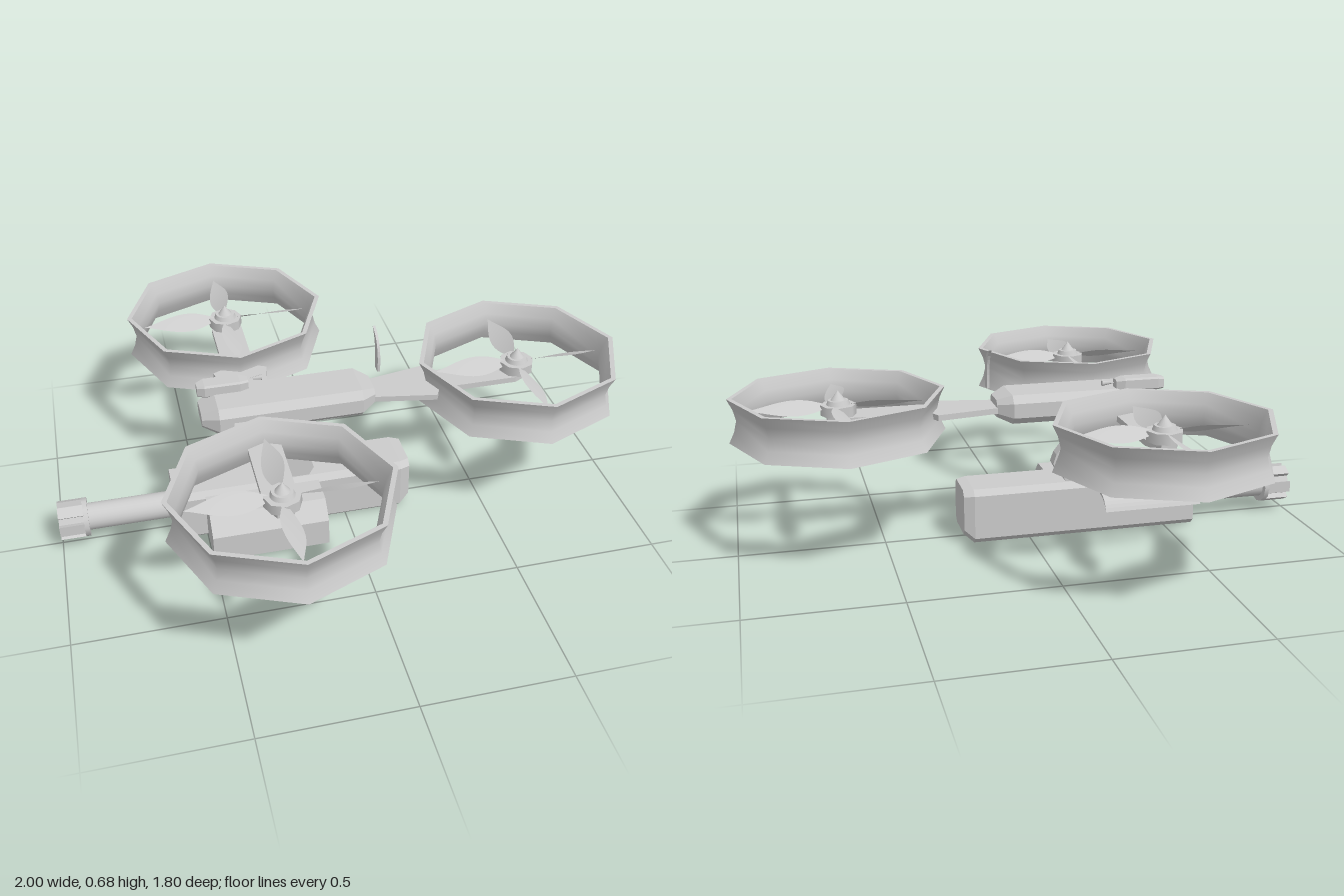
import * as THREE from 'three';
import { mergeGeometries } from 'three/addons/utils/BufferGeometryUtils.js';

const grey = new THREE.MeshStandardMaterial({ color: 0xcccccc });
const thin = new THREE.MeshStandardMaterial({ color: 0xcccccc, side: THREE.DoubleSide });

function part(parent, name, geo, x = 0, y = 0, z = 0, mat = grey) {
  const m = new THREE.Mesh(geo, mat);
  m.name = name;
  m.position.set(x, y, z);
  parent.add(m);
  return m;
}

// Chamfered hull along x; each section is [x, bottom, top, halfWidth, chamfer]
function hull(sections) {
  const pos = [], idx = [], n = 8, last = (sections.length - 1) * n;
  for (const [x, b, t, h, c] of sections) {
    for (const [y, z] of [[t, c - h], [t, h - c], [t - c, h], [b + c, h], [b, h - c], [b, c - h], [b + c, -h], [t - c, -h]]) pos.push(x, y, z);
  }
  for (let i = 0; i < last; i += n) {
    for (let j = 0; j < n; j++) {
      const k = (j + 1) % n;
      idx.push(i + j, i + k, i + n + j, i + k, i + n + k, i + n + j);
    }
  }
  for (let j = 1; j < n - 1; j++) idx.push(0, j + 1, j, last, last + j, last + j + 1);
  const g = new THREE.BufferGeometry();
  g.setAttribute('position', new THREE.Float32BufferAttribute(pos, 3));
  g.setIndex(idx);
  const flat = g.toNonIndexed();
  flat.computeVertexNormals();
  return flat;
}

const shapeOf = pts => new THREE.Shape(pts.map(p => new THREE.Vector2(...p)));

// Extrude a (z, y) outline from x0 to x1
function extrudeX(shape, x0, x1) {
  return new THREE.ExtrudeGeometry(shape, { depth: x1 - x0, bevelEnabled: false, curveSegments: 8 })
    .rotateY(-Math.PI / 2).translate(x1, 0, 0);
}

// Octagonal duct with a pinched waist and sharp rims
function ductGeometry() {
  const wall = r => [-1, -0.5, 0, 0.5, 1].map(t => new THREE.Vector2(r - 0.027 * (1 - Math.abs(t) ** 1.6), 0.475 + 0.075 * t));
  const outer = wall(0.36), inner = wall(0.343).reverse();
  return mergeGeometries([outer, [outer[4], inner[0]], inner, [inner[4], outer[0]]].map(p => new THREE.LatheGeometry(p, 8)));
}

// Leaf-shaped, pitched propeller blade along +x
function bladeGeometry() {
  const g = new THREE.PlaneGeometry(1, 2, 12, 2), p = g.attributes.position;
  for (let i = 0; i < p.count; i++) {
    const t = p.getX(i) + 0.5, side = p.getY(i);
    const w = side * (0.008 * (1 - t) + 0.034 * Math.sin(Math.PI * t ** 0.85) ** 1.2);
    const pitch = 0.65 - 0.35 * t;
    p.setXYZ(i, 0.04 + 0.26 * t, w * Math.sin(pitch), w * Math.cos(pitch));
  }
  g.computeVertexNormals();
  return g;
}

// Duct, hub, blades and the arm that reaches back to the chassis
function rotorUnit(name, x, z, angle, reach, rootHalf) {
  const g = new THREE.Group();
  g.name = name;
  g.position.set(x, 0, z);
  g.rotation.y = angle;
  part(g, 'duct', ductGeometry());
  const half = [[-reach, rootHalf], [-0.32, 0.095], [-0.3, 0.055], [-0.02, 0.055], [0.04, 0.025]];
  const outline = [...half, ...half.map(([a, b]) => [a, -b]).reverse()];
  const arm = new THREE.ExtrudeGeometry(shapeOf(outline), { depth: 0.02, bevelEnabled: false }).rotateX(-Math.PI / 2);
  part(g, 'arm', arm, 0, 0.455, 0);
  part(g, 'motorHub', new THREE.CylinderGeometry(0.06, 0.06, 0.035, 8), 0, 0.4925, 0);
  part(g, 'hubCollar', new THREE.CylinderGeometry(0.034, 0.04, 0.015, 16), 0, 0.5175, 0);
  part(g, 'spinner', new THREE.ConeGeometry(0.026, 0.035, 16), 0, 0.5405, 0);
  const blade = bladeGeometry();
  for (let i = 0; i < 4; i++) part(g, 'blade', blade, 0, 0.505, 0, thin).rotation.y = i * Math.PI / 2;
  return g;
}

export function createModel() {
  const model = new THREE.Group();

  // Three ducted rotors
  model.add(rotorUnit('rearRotor', 0.64, 0, 0, 0.54, 0.055));
  for (const s of [-1, 1]) model.add(rotorUnit('sideRotor', -0.31, 0.54 * s, -s * Math.PI / 2, 0.46, 0.07));

  // Upper chassis with sensor box and curved aerial
  part(model, 'chassis', hull([
    [-0.485, 0.44, 0.49, 0.055, 0.015], [-0.43, 0.42, 0.52, 0.095, 0.025],
    [0.06, 0.42, 0.52, 0.095, 0.025], [0.11, 0.44, 0.5, 0.055, 0.015]]));
  const sensor = hull([[-0.485, 0.51, 0.55, 0.018, 0.006], [-0.46, 0.51, 0.555, 0.03, 0.006],
    [-0.34, 0.51, 0.555, 0.03, 0.006], [-0.31, 0.51, 0.55, 0.018, 0.006]]);
  part(model, 'sensorBox', sensor, 0, 0, -0.05);
  part(model, 'sensorProbe', new THREE.ConeGeometry(0.01, 0.05, 8).rotateZ(Math.PI / 2), -0.285, 0.54, -0.06);
  const aerial = new THREE.Shape();
  aerial.moveTo(0.002, 0.54);
  aerial.quadraticCurveTo(0.015, 0.66, -0.07, 0.68);
  aerial.quadraticCurveTo(-0.025, 0.64, -0.03, 0.54);
  part(model, 'aerial', extrudeX(aerial, 0.131, 0.14));

  // Swivel mount under the chassis
  part(model, 'mountPost', new THREE.CylinderGeometry(0.035, 0.035, 0.2, 20), -0.185, 0.34, 0);
  part(model, 'pivot', new THREE.CylinderGeometry(0.048, 0.048, 0.13, 20).rotateX(Math.PI / 2), -0.185, 0.25, 0);
  const cheek = shapeOf([[-0.055, 0], [0.055, 0], [0.072, 0.03], [0.06, 0.065], [0.032, 0.1], [-0.032, 0.1], [-0.06, 0.065], [-0.072, 0.03]]);
  const cheekGeo = new THREE.ExtrudeGeometry(cheek, { depth: 0.045, bevelEnabled: false });
  for (const z of [-0.075, 0.03]) part(model, 'mountCheek', cheekGeo, -0.185, 0.198, z);

  // Lower gun housing, ammunition box and side guard
  part(model, 'gunHousing', hull([
    [-0.605, 0, 0.195, 0.095, 0.02], [0.2, 0, 0.195, 0.095, 0.02], [0.235, 0.03, 0.192, 0.08, 0.02]]));
  const box = shapeOf([[0.08, 0.025], [0.25, 0.025], [0.25, 0.125], [0.195, 0.18], [0.08, 0.18]]);
  part(model, 'ammunitionBox', extrudeX(box, -0.5, -0.1));
  const guard = new THREE.Shape();
  guard.moveTo(-0.09, 0.148);
  guard.quadraticCurveTo(-0.14, 0.148, -0.17, 0.105);
  guard.quadraticCurveTo(-0.145, 0.158, -0.09, 0.158);
  part(model, 'sideGuard', extrudeX(guard, -0.6, -0.25));

  // Barrel and slotted muzzle
  part(model, 'barrel', new THREE.CylinderGeometry(0.047, 0.047, 0.36, 24).rotateZ(Math.PI / 2), -0.75, 0.1, 0);
  const teeth = [];
  for (let i = 0; i < 6; i++) {
    for (const [a, r] of [[-0.3, 0.048], [-0.3, 0.068], [0.3, 0.068], [0.3, 0.048]]) {
      const t = i * Math.PI / 3 + a;
      teeth.push([r * Math.cos(t), r * Math.sin(t)]);
    }
  }
  const slotted = shapeOf(teeth);
  slotted.holes.push(new THREE.Path().absarc(0, 0, 0.02, 0, Math.PI * 2, true));
  part(model, 'muzzle', extrudeX(slotted, -1, -0.915), 0, 0.1, 0);
  part(model, 'muzzleCollar', new THREE.CylinderGeometry(0.068, 0.068, 0.017, 12).rotateZ(Math.PI / 2), -0.908, 0.1, 0);

  return model;
}
